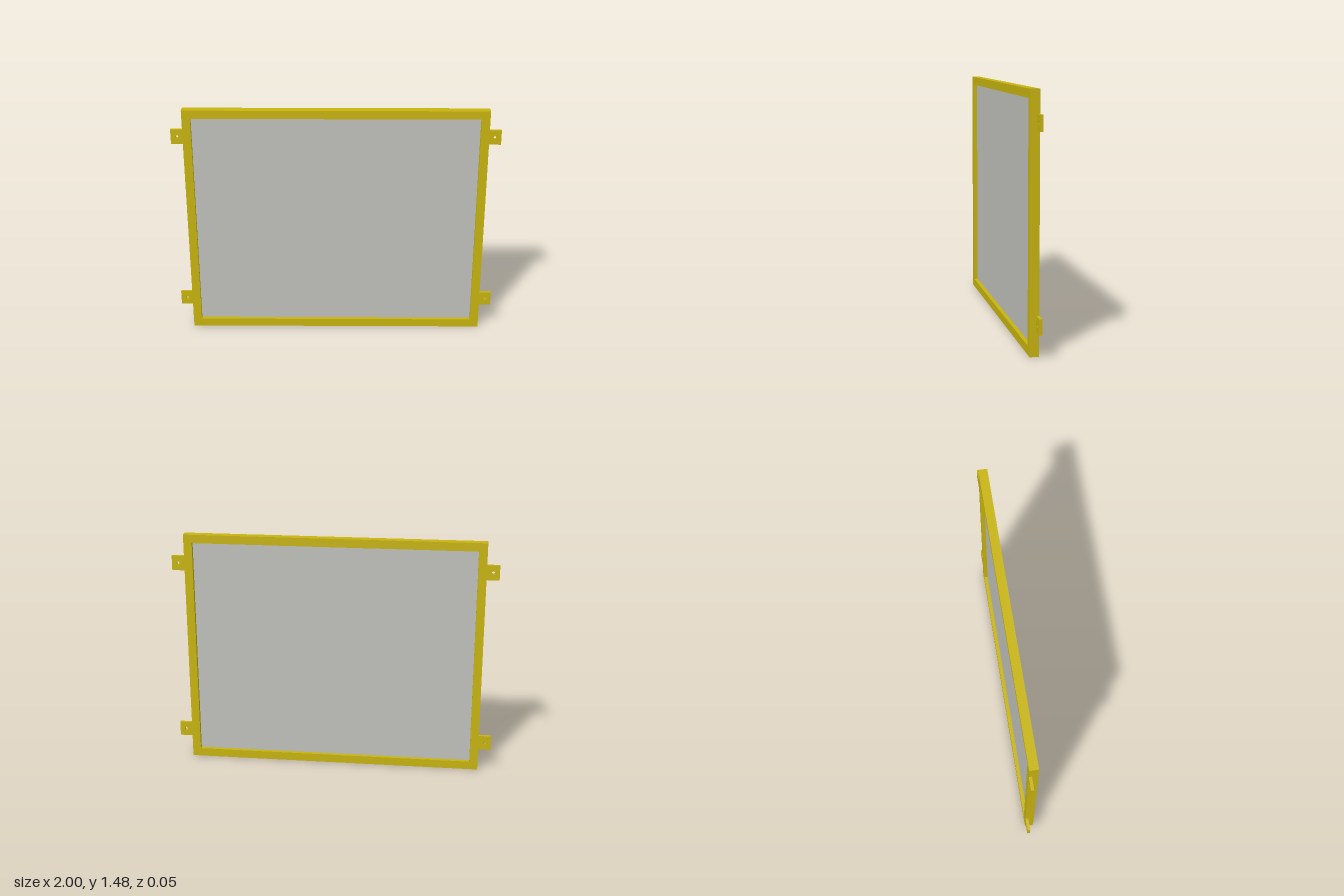
import * as THREE from 'three';

const frameYellow = new THREE.MeshStandardMaterial({ color: 0xc8b40f });
frameYellow.name = 'frameYellow';
const panelGrey = new THREE.MeshStandardMaterial({ color: 0xc0c0bc });
panelGrey.name = 'panelGrey';

const W = 1.845, H = 1.48, D = 0.054, BAR = 0.052;
const TAB_W = 0.0775, TAB_H = 0.092, TAB_D = 0.018, HOLE_R = 0.009;

// Rectangle centred on the origin
function rectangle(PathType, w, h) {
  const p = new PathType();
  p.moveTo(-w / 2, -h / 2);
  p.lineTo(w / 2, -h / 2);
  p.lineTo(w / 2, h / 2);
  p.lineTo(-w / 2, h / 2);
  p.closePath();
  return p;
}

// Flat plate with one hole, its back face at z = 0
function plate(w, h, depth, hole) {
  const shape = rectangle(THREE.Shape, w, h);
  shape.holes.push(hole);
  return new THREE.ExtrudeGeometry(shape, { depth, bevelEnabled: false, curveSegments: 16 });
}

export function createModel() {
  const group = new THREE.Group();
  group.name = 'framedPanel';

  function add(name, geometry, material, x, y, z) {
    const mesh = new THREE.Mesh(geometry, material);
    mesh.name = name;
    mesh.position.set(x, y, z);
    group.add(mesh);
  }

  // Rectangular frame
  const opening = rectangle(THREE.Path, W - 2 * BAR, H - 2 * BAR);
  add('frame', plate(W, H, D, opening), frameYellow, 0, H / 2, -D / 2);

  // Thin sheet halfway through the frame
  add('panel', new THREE.BoxGeometry(W - 2 * BAR, H - 2 * BAR, 0.006), panelGrey, 0, H / 2, 0);

  // Four mounting tabs with screw holes, flush with the back
  const screwHole = new THREE.Path().absarc(0, 0, HOLE_R, 0, Math.PI * 2, true);
  const tab = plate(TAB_W, TAB_H, TAB_D, screwHole);
  for (const [side, sx] of [['left', 1], ['right', -1]]) {
    for (const [level, y] of [['Upper', 1.3], ['Lower', 0.188]]) {
      add(`${side}${level}Tab`, tab, frameYellow, sx * (W + TAB_W) / 2, y, -D / 2);
    }
  }
  return group;
}
